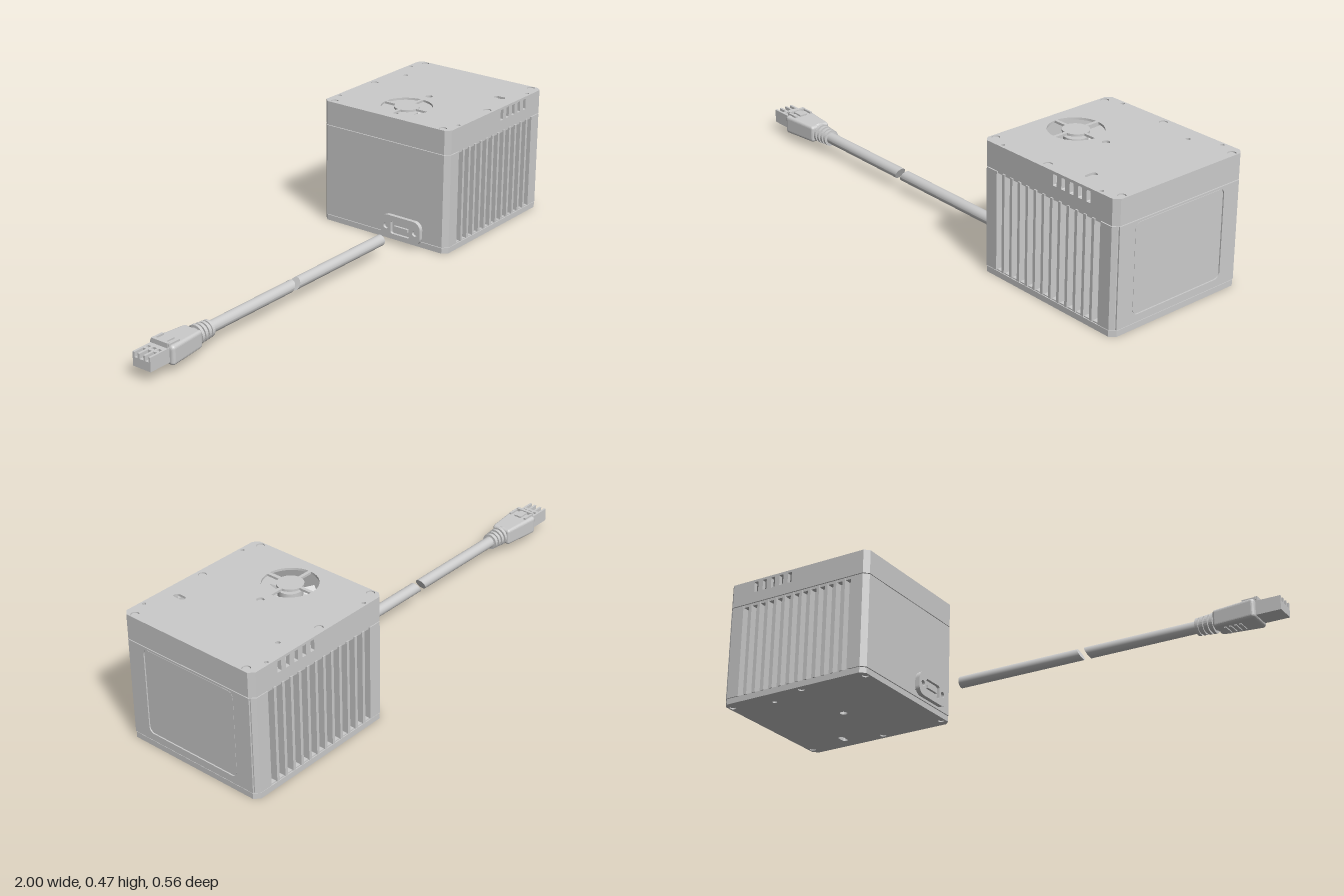
import * as THREE from 'three';
import { RoundedBoxGeometry } from 'three/addons/geometries/RoundedBoxGeometry.js';

const X0 = 0.39, X1 = 1.0, ZH = 0.28, CH = 0.018, CX = (X0 + X1) / 2;
const CABLE_Y = 0.063, CABLE_Z = 0.102;
const mat = new THREE.MeshStandardMaterial({ color: 0xcccccc, side: THREE.DoubleSide });

function add(parent, name, geo, x = 0, y = 0, z = 0) {
  const m = new THREE.Mesh(geo, mat);
  m.name = name;
  m.position.set(x, y, z);
  parent.add(m);
  return m;
}
const poly = (pts) => new THREE.Shape(pts.map(([x, y]) => new THREE.Vector2(x, y)));
const extrude = (shape, depth) =>
  new THREE.ExtrudeGeometry(shape, { depth, bevelEnabled: false, curveSegments: 16 });
// plan shapes are drawn in (x, -z) and raised along y
const raise = (shape, y0, y1) => extrude(shape, y1 - y0).rotateX(-Math.PI / 2).translate(0, y0, 0);

// chamfered plan outline of the case
function footprint(inset = 0) {
  const a = X0 + inset, b = X1 - inset, h = ZH - inset;
  return poly([[a + CH, -h], [b - CH, -h], [b, -h + CH], [b, h - CH],
    [b - CH, h], [a + CH, h], [a, h - CH], [a, -h + CH]]);
}
function roundRect(cls, cx, cy, w, h, r) {
  const s = new cls(), x = w / 2 - r, y = h / 2 - r;
  s.absarc(cx + x, cy + y, r, 0, Math.PI / 2);
  s.absarc(cx - x, cy + y, r, Math.PI / 2, Math.PI);
  s.absarc(cx - x, cy - y, r, Math.PI, Math.PI * 1.5);
  s.absarc(cx + x, cy - y, r, Math.PI * 1.5, Math.PI * 2);
  s.closePath();
  return s;
}
function circle(x, z, r) {
  const p = new THREE.Path();
  p.absarc(x, -z, r, 0, Math.PI * 2);
  return p;
}
const SCREWS = [];
for (const s of [-1, 1]) SCREWS.push([0.408, s * 0.242], [0.982, s * 0.242], [0.67, s * 0.255]);

// heat-sink body: plan outline with grooves along front and back
function bodyShape() {
  const pts = [], n = 13, pitch = 0.0375, half = 0.013, depth = 0.028, b = X1 - 0.005;
  for (const s of [-1, 1]) {
    const side = [[X0, s * (ZH - CH)], [X0 + CH, s * ZH]];
    for (let i = 0; i < n; i++) {
      const c = CX + (i - (n - 1) / 2) * pitch;
      side.push([c - half, s * ZH], [c - half, s * (ZH - depth)],
        [c + half, s * (ZH - depth)], [c + half, s * ZH]);
    }
    side.push([X1 - CH, s * ZH], [b, s * (ZH - CH + 0.005)]);
    pts.push(...(s < 0 ? side : side.reverse()));
  }
  return poly(pts);
}

function buildCase(root) {
  const g = new THREE.Group();
  g.name = 'case';
  root.add(g);

  // base plate with screw recesses
  const base = footprint(0.001);
  for (const [x, z] of SCREWS) base.holes.push(circle(x, z, 0.012));
  base.holes.push(circle(0.67, 0, 0.014), circle(0.82, -0.21, 0.009),
    roundRect(THREE.Path, 0.82, -0.21, 0.022, 0.045, 0.01));
  add(g, 'basePlate', raise(base, 0, 0.021));
  add(g, 'baseSeam', raise(footprint(0.005), 0.014, 0.025));
  add(g, 'finnedBody', raise(bodyShape(), 0.0235, 0.377));
  add(g, 'lidSeam', raise(footprint(0.005), 0.37, 0.382));

  // raised frame around the shallow side panel
  const frame = poly([[-0.263, 0.0235], [0.263, 0.0235], [0.263, 0.377], [-0.263, 0.377]]);
  frame.holes.push(roundRect(THREE.Path, 0, 0.21, 0.392, 0.32, 0.022));
  add(g, 'sidePanelFrame', extrude(frame, 0.005).rotateY(Math.PI / 2), X1 - 0.005);
  add(g, 'sidePanel', extrude(roundRect(THREE.Shape, 0, 0.21, 0.386, 0.314, 0.02), 0.003)
    .rotateY(Math.PI / 2), X1 - 0.005);

  // lid walls, with vent slots in front and back
  const y0 = 0.38, yp = 0.462, t = 0.015;
  const wall = poly([[X0 + CH, y0], [X1 - CH, y0], [X1 - CH, yp], [X0 + CH, yp]]);
  for (let i = 0; i < 5; i++)
    wall.holes.push(roundRect(THREE.Path, 0.729 + i * 0.0375, 0.441, 0.017, 0.04, 0.003));
  add(g, 'frontLidWall', extrude(wall, t), 0, 0, ZH - t);
  add(g, 'backLidWall', extrude(wall, t), 0, 0, -ZH);
  for (const [name, x, d] of [['innerLidWall', X0, 1], ['outerLidWall', X1, -1]]) {
    const k = x + d * CH, h = ZH - CH;
    add(g, name, raise(poly([[x, -h], [k, -ZH], [k, ZH], [x, h]]), y0, yp));
  }

  // lid plate with fan grille, screw and access holes
  const lid = footprint(), fx = 0.525;
  for (let q = 0; q < 4; q++) {
    const p = new THREE.Path(), a = q * Math.PI / 2, g1 = Math.asin(0.006 / 0.095), g2 = Math.asin(0.006 / 0.046);
    p.absarc(fx, 0, 0.095, a + g1, a + Math.PI / 2 - g1, false);
    p.absarc(fx, 0, 0.046, a + Math.PI / 2 - g2, a + g2, true);
    p.closePath();
    lid.holes.push(p);
  }
  for (const [x, z] of SCREWS) lid.holes.push(circle(x, z, 0.014));
  for (const x of [0.47, 0.92]) for (const s of [-1, 1]) lid.holes.push(circle(x, s * 0.266, 0.007));
  lid.holes.push(circle(0.665, 0, 0.013), circle(0.817, -0.217, 0.008),
    roundRect(THREE.Path, 0.817, -0.21, 0.022, 0.045, 0.0105));
  add(g, 'lidPlate', raise(lid, yp, 0.47));
  for (const [x, z] of SCREWS) {
    add(g, 'lidScrew', new THREE.CylinderGeometry(0.0125, 0.0125, 0.087, 20), x, 0.4235, z);
    add(g, 'baseScrew', new THREE.CylinderGeometry(0.0105, 0.0105, 0.016, 20), x, 0.012, z);
  }

  // fan under the grille
  const fan = new THREE.Group();
  fan.name = 'fan';
  fan.position.set(fx, 0.415, 0);
  g.add(fan);
  add(fan, 'fanHub', new THREE.CylinderGeometry(0.042, 0.042, 0.07, 28));
  for (let i = 0; i < 7; i++) {
    const a = i / 7 * Math.PI * 2;
    const blade = add(fan, 'fanBlade', new THREE.BoxGeometry(0.052, 0.003, 0.045).rotateX(0.6),
      Math.cos(a) * 0.065, 0, -Math.sin(a) * 0.065);
    blade.rotation.y = a;
  }
}

// port on the inner side: neck, flange and hollow shroud
function buildPort(root) {
  const g = new THREE.Group();
  g.name = 'port';
  g.position.set(0, 0.064, CABLE_Z);
  root.add(g);
  add(g, 'portNeck', new THREE.BoxGeometry(0.025, 0.035, 0.13), 0.381);
  const flange = roundRect(THREE.Shape, 0, 0, 0.175, 0.09, 0.03);
  flange.holes.push(roundRect(THREE.Path, 0, 0, 0.085, 0.05, 0.008));
  for (const s of [-1, 1]) flange.holes.push(circle(s * 0.064, 0, 0.011));
  add(g, 'portFlange', extrude(flange, 0.012).rotateY(Math.PI / 2), 0.355);
  add(g, 'portBacking', extrude(roundRect(THREE.Shape, 0, 0, 0.172, 0.087, 0.029), 0.007)
    .rotateY(Math.PI / 2), 0.366);
  add(g, 'portTongue', new THREE.BoxGeometry(0.01, 0.012, 0.06), 0.362);
}

// cable run with optional slanted cut at either end
function cable(root, name, xa, xb, slantA, slantB) {
  const geo = new THREE.CylinderGeometry(0.021, 0.021, xb - xa, 28).rotateZ(-Math.PI / 2);
  const p = geo.attributes.position;
  for (let i = 0; i < p.count; i++)
    p.setX(i, p.getX(i) + p.getY(i) * (p.getX(i) < 0 ? slantA : slantB));
  geo.computeVertexNormals();
  add(root, name, geo, (xa + xb) / 2, CABLE_Y, CABLE_Z);
}

function buildPlug(root) {
  const g = new THREE.Group();
  g.name = 'plug';
  g.position.set(0, CABLE_Y, CABLE_Z);
  root.add(g);
  // moulded grip, tapering towards the cable
  const grip = new RoundedBoxGeometry(0.155, 0.07, 0.105, 3, 0.012);
  const p = grip.attributes.position;
  for (let i = 0; i < p.count; i++) if (p.getX(i) > 0.06) {
    p.setY(i, p.getY(i) * 0.9);
    p.setZ(i, p.getZ(i) * 0.75);
  }
  grip.computeVertexNormals();
  add(g, 'plugGrip', grip, -0.835);
  // nose with contact slots open at its tip
  add(g, 'plugNoseCore', new THREE.BoxGeometry(0.045, 0.05, 0.075), -0.915, 0.002);
  add(g, 'plugNoseFloor', new THREE.BoxGeometry(0.095, 0.032, 0.075), -0.9525, -0.007);
  for (const z of [-0.0335, -0.012, 0.012, 0.0335])
    add(g, 'plugNoseRib', new THREE.BoxGeometry(0.095, 0.05, 0.008), -0.9525, 0.002, z);
  add(g, 'plugNoseBridge', new THREE.BoxGeometry(0.012, 0.05, 0.075), -0.955, 0.002);
  // latch with its guard rails
  add(g, 'latchBar', new THREE.BoxGeometry(0.012, 0.02, 0.07), -0.913, 0.034);
  add(g, 'latchTongue', new THREE.BoxGeometry(0.05, 0.008, 0.03), -0.89, 0.036);
  for (const s of [-1, 1])
    add(g, 'latchRail', new THREE.BoxGeometry(0.05, 0.01, 0.008), -0.89, 0.036, s * 0.034);
  for (let i = 0; i < 4; i++)
    add(g, 'gripRidge', new THREE.BoxGeometry(0.008, 0.004, 0.05), -0.85 + i * 0.018, -0.035);
  // ribbed strain relief
  const pts = [[0.034, 0]];
  for (let i = 0; i < 4; i++) {
    const x = 0.008 + i * 0.018, r = 0.035 - i * 0.0015;
    pts.push([0.026, x], [0.026, x + 0.006], [r, x + 0.006], [r, x + 0.017], [0.026, x + 0.017]);
  }
  pts.push([0.02, 0.08]);
  const relief = new THREE.LatheGeometry(pts.map(([r, x]) => new THREE.Vector2(r, x)), 28)
    .rotateZ(-Math.PI / 2).toNonIndexed();
  relief.computeVertexNormals();
  add(g, 'strainRelief', relief, -0.768);
}

export function createModel() {
  const root = new THREE.Group();
  root.name = 'deviceWithCable';
  buildCase(root);
  buildPort(root);
  cable(root, 'plugCable', -0.72, -0.274, 0, 0.5);
  cable(root, 'caseCable', -0.247, 0.235, 0.5, 0);
  buildPlug(root);
  return root;
}
